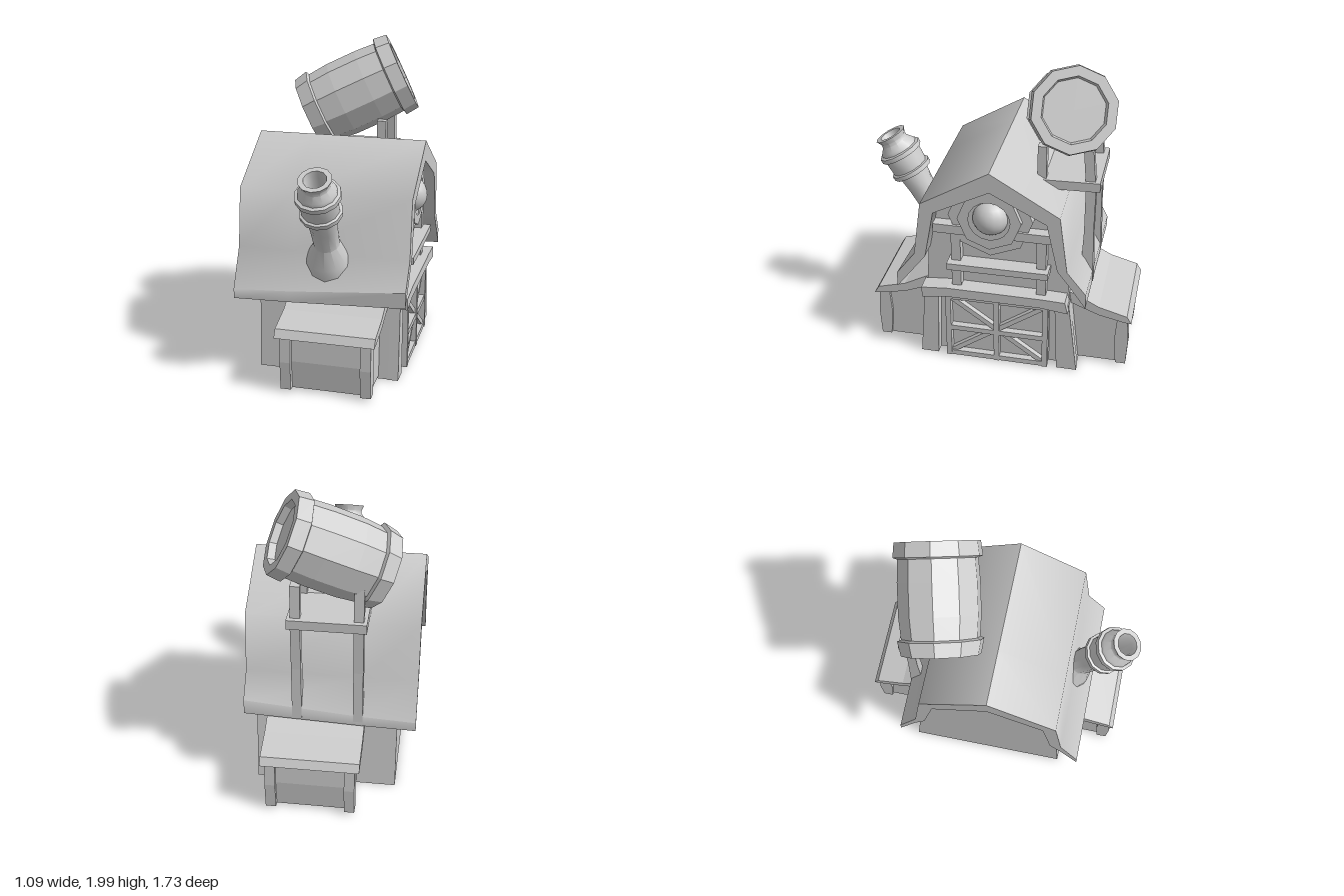
import * as THREE from 'three';
import { toCreasedNormals } from 'three/addons/utils/BufferGeometryUtils.js';

const grey = new THREE.MeshStandardMaterial({ color: 0xcccccc });
const flat = new THREE.MeshStandardMaterial({ color: 0xcccccc, flatShading: true });
const shell = new THREE.MeshStandardMaterial({ color: 0xcccccc, flatShading: true, side: THREE.DoubleSide });

export function createModel() {
  const model = new THREE.Group();

  function add(name, geometry, material = flat) {
    const mesh = new THREE.Mesh(geometry, material);
    mesh.name = name;
    model.add(mesh);
    return mesh;
  }

  // Profile of [z, y] points, extruded along x from x0 to x1
  function prism(points, x0, x1, steps = 1, hole) {
    const shape = new THREE.Shape(points.map(([z, y]) => new THREE.Vector2(-z, y)));
    if (hole) shape.holes.push(new THREE.Path(hole.map(([z, y]) => new THREE.Vector2(-z, y))));
    return new THREE.ExtrudeGeometry(shape, { depth: x1 - x0, steps, bevelEnabled: false })
      .rotateY(Math.PI / 2).translate(x0, 0, 0);
  }

  // Removes the floor of a prism, leaving an open shell
  function withoutFloor(geometry) {
    const a = geometry.attributes.position.array;
    const kept = [];
    for (let i = 0; i < a.length; i += 9)
      if (Math.max(a[i + 1], a[i + 4], a[i + 7]) > 0.03) kept.push(...a.slice(i, i + 9));
    const open = new THREE.BufferGeometry();
    open.setAttribute('position', new THREE.Float32BufferAttribute(kept, 3));
    open.computeVertexNormals();
    return open;
  }

  function box(name, x0, x1, y0, y1, z0, z1) {
    const g = new THREE.BoxGeometry(x1 - x0, y1 - y0, z1 - z0);
    return add(name, g.translate((x0 + x1) / 2, (y0 + y1) / 2, (z0 + z1) / 2));
  }

  // Straight plank lying in a z-y plane
  function plank(name, [za, ya], [zb, yb], width, x0, x1) {
    const g = new THREE.BoxGeometry(x1 - x0, width, Math.hypot(zb - za, yb - ya));
    g.rotateX(Math.atan2(ya - yb, zb - za));
    return add(name, g.translate((x0 + x1) / 2, (ya + yb) / 2, (za + zb) / 2));
  }

  // Barn body, open underneath
  add('barnBody', withoutFloor(prism([[0.495, 0], [0.46, 0.5], [0.45, 0.65], [0.44, 0.8], [0.38, 1.12],
    [0.02, 1.31], [-0.34, 1.12], [-0.41, 0.8], [-0.455, 0.6], [-0.47, 0.5], [-0.525, 0]], -0.43, 0.4)), shell);

  // Gambrel roof; its flared eaves sag toward the -x end
  function sagging(geometry) {
    const p = geometry.attributes.position;
    for (let i = 0; i < p.count; i++) {
      if (Math.abs(p.getX(i)) < 0.1) p.setX(i, -0.2);
      if (Math.abs(p.getZ(i)) < 0.55) continue;
      const sag = p.getX(i) > 0 ? 0 : p.getX(i) > -0.3 ? 1 : 1.3;
      p.setY(i, p.getY(i) - sag * (p.getY(i) > 0.6 ? 0.06 : 0.03));
    }
    return toCreasedNormals(geometry, 0.95);
  }
  add('roof', sagging(prism([[0.62, 0.64], [0.5, 0.8], [0.45, 1.165], [0.02, 1.42], [-0.41, 1.165],
    [-0.46, 0.79], [-0.58, 0.64], [-0.47, 0.698], [-0.4, 0.79], [-0.33, 1.11], [0.02, 1.29],
    [0.37, 1.11], [0.43, 0.79], [0.5, 0.698]], -0.55, 0.525, 2)), grey);
  add('frontFascia', sagging(prism([[0.62, 0.64], [0.62, 0.54], [0.5, 0.698]], -0.55, 0.525, 2)), grey);
  add('backFascia', sagging(prism([[-0.58, 0.64], [-0.58, 0.54], [-0.47, 0.698]], -0.55, 0.525, 2)), grey);

  // Corner posts and lintel of the gable side
  add('cornerPost', prism([[0.5, 0], [0.46, 0.5], [0.37, 0.5], [0.385, 0]], 0.4, 0.465));
  add('cornerPost', prism([[-0.53, 0], [-0.47, 0.5], [-0.38, 0.5], [-0.4, 0]], 0.4, 0.465));
  add('lintel', prism([[0.47, 0.54], [0.465, 0.465], [0.3, 0.49], [-0.3, 0.49], [-0.47, 0.47],
    [-0.45, 0.55], [-0.3, 0.555], [0.3, 0.555]], 0.4, 0.51));

  // Barn door with frame and cross braces
  box('doorPanel', 0.4, 0.44, 0.01, 0.49, -0.34, 0.32);
  for (const z of [0.305, -0.01, -0.325]) plank('doorStile', [z, 0.01], [z, 0.49], 0.035, 0.44, 0.487);
  for (const y of [0.028, 0.23, 0.472]) plank('doorRail', [0.32, y], [-0.34, y], 0.035, 0.44, 0.483);
  for (const s of [1, -1])
    plank('doorBrace', [-0.01 + s * 0.31, 0.03], [-0.01 - s * 0.31, 0.47], 0.032, 0.44, 0.475);

  // Gable timbers
  for (const z of [0.25, -0.29]) box('gablePost', 0.4, 0.46, 0.54, 0.96, z - 0.03, z + 0.03);
  plank('gableRail', [0.3, 0.72], [-0.34, 0.725], 0.045, 0.4, 0.51);
  plank('gableBeam', [0.39, 0.97], [0.18, 0.97], 0.06, 0.4, 0.47);
  plank('gableBeam', [-0.12, 0.97], [-0.36, 0.97], 0.06, 0.4, 0.47);

  // Round window
  const ngon = (r, n) => Array.from({ length: n }, (_, i) => {
    const a = (i / n) * Math.PI * 2 + Math.PI / 2;
    return [0.03 + r * Math.cos(a), 1.07 + r * Math.sin(a)];
  });
  add('windowSurround', prism(ngon(0.265, 8), 0.4, 0.455));
  add('windowRing', prism(ngon(0.2, 8), 0.4, 0.49, 1, ngon(0.13, 16)));
  add('windowGlass', new THREE.SphereGeometry(0.115, 16, 12).translate(0.427, 1.07, 0.03), grey);

  // Lean-to sheds at front and back
  for (const back of [false, true]) {
    const at = pts => pts.map(([z, y]) => [back ? -0.03 - z : z, y]);
    add('shedWalls', withoutFloor(prism(at([[0.48, 0.02], [0.77, 0.02], [0.785, 0.2], [0.77, 0.4], [0.43, 0.5]]),
      -0.18, 0.34)), shell);
    for (const x of [-0.2, 0.295])
      add('shedPost', prism(at([[0.74, 0.02], [0.805, 0.02], [0.815, 0.2], [0.8, 0.39], [0.74, 0.4], [0.725, 0.2]]), x, x + 0.065));
    add('shedRoof', prism(at([[0.42, 0.555], [0.47, 0.54], [0.62, 0.46], [0.8, 0.41], [0.83, 0.36],
      [0.78, 0.365], [0.62, 0.4], [0.42, 0.48]]), -0.23, 0.385));
  }

  // Tilted chimney with two bands and an open flared mouth
  const chimneyProfile = [[0.17, -0.74], [0.145, -0.64], [0.08, -0.54], [0.086, -0.4], [0.098, -0.29],
    [0.13, -0.285], [0.132, -0.255], [0.116, -0.25], [0.12, -0.15], [0.14, -0.145], [0.14, -0.115],
    [0.12, -0.11], [0.115, -0.09], [0.087, -0.055], [0.085, -0.035], [0.102, 0], [0.07, 0],
    [0.06, -0.04], [0.06, -0.2], [0, -0.2]];
  const chimney = add('chimney', toCreasedNormals(new THREE.LatheGeometry(
    chimneyProfile.map(([r, y]) => new THREE.Vector2(r, y)), 12), 0.7), grey);
  chimney.position.set(0.02, 1.35, 0.78);
  chimney.rotation.x = Math.atan2(0.48, 0.88);

  // Barrel stand behind the roof ridge
  for (const x of [-0.19, 0.19]) {
    add('standLeg', prism([[-0.585, 0.54], [-0.5, 0.56], [-0.515, 0.9], [-0.515, 1.23], [-0.495, 1.47],
      [-0.555, 1.47], [-0.578, 1.2], [-0.575, 0.9]], x - 0.03, x + 0.03));
    box('standFrontPost', x - 0.03, x + 0.03, 1.2, 1.47, -0.27, -0.215);
  }
  plank('standPlatform', [-0.22, 1.225], [-0.605, 1.235], 0.06, -0.24, 0.24);

  // Tilted barrel with chamfered end hoops and recessed lids
  const left = new THREE.Vector3(-0.31, 1.475, -0.3);
  const right = new THREE.Vector3(0.28, 1.76, -0.44);
  const h = left.distanceTo(right) / 2;
  const barrelProfile = [[0, -h + 0.045], [0.185, -h + 0.045], [0.195, -h], [0.242, -h], [0.262, -h + 0.09],
    [0.238, -h + 0.1], [0.25, -0.1], [0.25, 0.1], [0.242, h - 0.1],
    [0.27, h - 0.09], [0.26, h], [0.2, h], [0.19, h - 0.045], [0, h - 0.045]];
  const barrel = add('barrel', new THREE.LatheGeometry(
    barrelProfile.map(([r, y]) => new THREE.Vector2(r, y)), 10));
  barrel.position.copy(left).add(right).multiplyScalar(0.5);
  barrel.quaternion.setFromUnitVectors(new THREE.Vector3(0, 1, 0), right.sub(left).normalize());
  barrel.rotateY(-0.2);

  return model;
}
